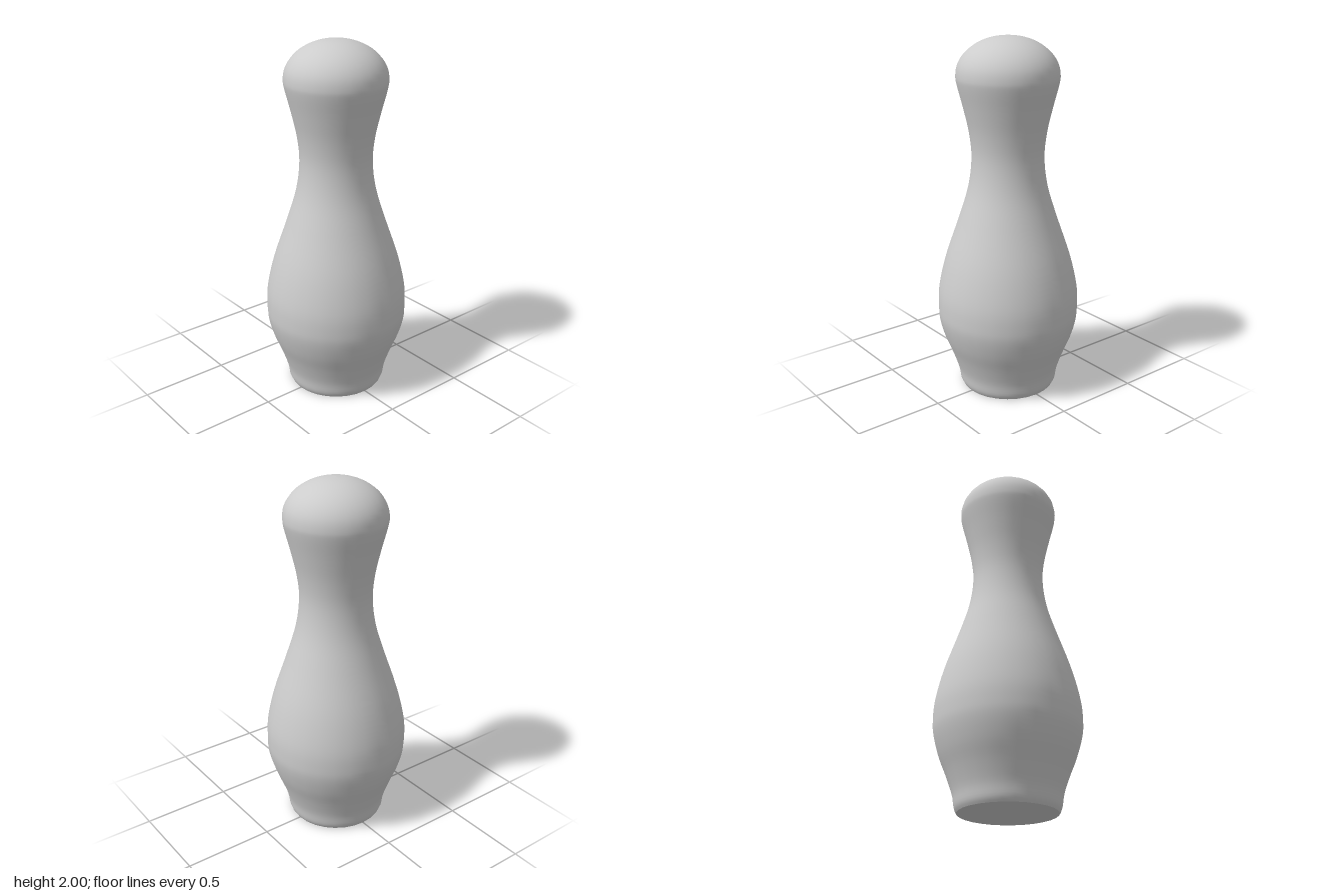
import * as THREE from 'three';

const SIDES = 28;

export function createModel() {
  const group = new THREE.Group();
  group.name = 'bowlingPin';
  const grey = new THREE.MeshStandardMaterial({ color: 0xcccccc });
  grey.name = 'plain grey';

  // Body: smooth profile from the base up to the domed head
  const profile = [
    [0.265, 0], [0.279, 0.03], [0.291, 0.1], [0.325, 0.2], [0.365, 0.3],
    [0.393, 0.4], [0.4, 0.48], [0.392, 0.6], [0.35, 0.78], [0.275, 1.0],
    [0.22, 1.18], [0.2, 1.34], [0.212, 1.48], [0.243, 1.62], [0.274, 1.74],
  ].map(([r, y]) => new THREE.Vector2(r, y));
  // Head: quarter ellipse closing at the top
  for (let i = 0; i <= 6; i++) {
    const a = (i / 6) * Math.PI / 2;
    profile.push(new THREE.Vector2(0.28 * Math.cos(a), 1.79 + 0.21 * Math.sin(a)));
  }
  const points = new THREE.SplineCurve(profile).getPoints(84);
  points.forEach((p) => { p.x = Math.max(p.x, 0); p.y = Math.min(Math.max(p.y, 0), 2); });
  points[points.length - 1].set(0, 2);
  const body = new THREE.Mesh(new THREE.LatheGeometry(points, SIDES), grey);
  body.name = 'pinBody';
  group.add(body);

  // Flat underside
  const base = new THREE.Mesh(new THREE.CircleGeometry(0.265, SIDES), grey);
  base.rotation.x = Math.PI / 2;
  base.name = 'pinBase';
  group.add(base);
  return group;
}
